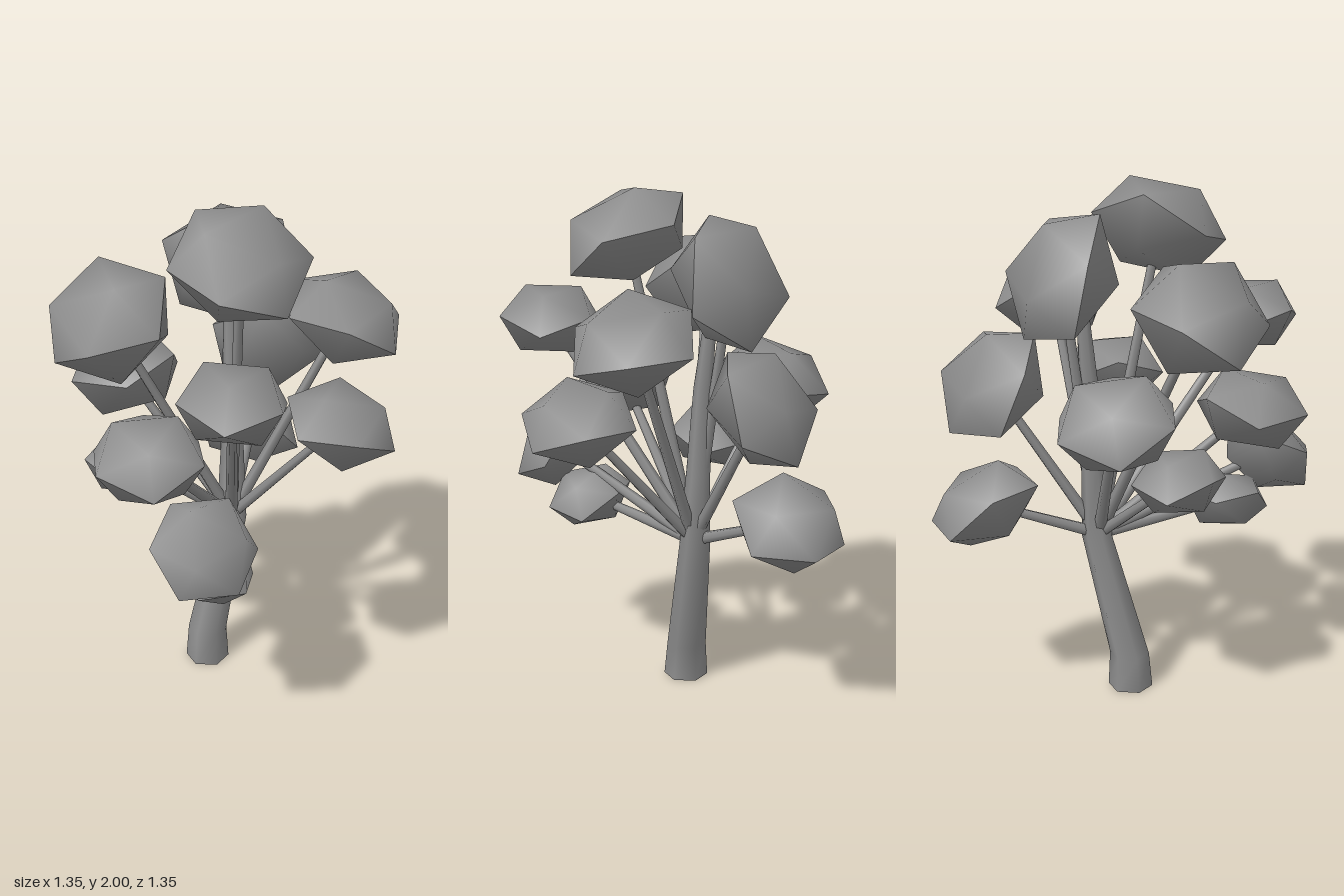
import * as THREE from 'three';
import { mergeVertices } from 'three/addons/utils/BufferGeometryUtils.js';

const UP = new THREE.Vector3(0, 1, 0);

// flattened icosahedron: smooth dome and smooth underside meeting at a sharp six-cornered rim
function makeLeafGeometry() {
  let g = new THREE.IcosahedronGeometry(1, 0);
  const p = g.attributes.position;
  const corner = (i) => new THREE.Vector3().fromBufferAttribute(p, i);
  const normal = corner(0).add(corner(1)).add(corner(2)).normalize();
  g.applyQuaternion(new THREE.Quaternion().setFromUnitVectors(normal, UP));
  g.rotateY(Math.atan2(p.getZ(0), p.getX(0)));
  g.scale(1, 0.69, 1);
  // tag each face as upper or lower so merging keeps the two halves apart
  const half = [];
  for (let i = 0; i < p.count; i += 3) {
    const side = p.getY(i) + p.getY(i + 1) + p.getY(i + 2) > 0 ? 1 : 0;
    half.push(side, side, side);
  }
  g.deleteAttribute('normal');
  g.deleteAttribute('uv');
  g.setAttribute('half', new THREE.Float32BufferAttribute(half, 1));
  g = mergeVertices(g, 1e-4);
  g.deleteAttribute('half');
  g.computeVertexNormals();
  return g;
}

// six-sided tapered limb through rings of [x, y, z, radius]
function makeLimb(rings, sides = 6) {
  const pos = [], idx = [], n = rings.length;
  for (const [x, y, z, r] of rings) {
    for (let j = 0; j < sides; j++) {
      const a = ((j + 0.5) / sides) * Math.PI * 2;
      pos.push(x + r * Math.cos(a), y, z + r * Math.sin(a));
    }
  }
  for (let i = 0; i < n - 1; i++) {
    for (let j = 0; j < sides; j++) {
      const a = i * sides + j, b = i * sides + (j + 1) % sides;
      idx.push(a, a + sides, b, b, a + sides, b + sides);
    }
  }
  // closed foot with its own corners so the rim stays sharp
  const foot = pos.length / 3;
  pos.push(...pos.slice(0, sides * 3));
  for (let j = 1; j < sides - 1; j++) idx.push(foot, foot + j, foot + j + 1);
  const g = new THREE.BufferGeometry();
  g.setAttribute('position', new THREE.Float32BufferAttribute(pos, 3));
  g.setIndex(idx);
  g.computeVertexNormals();
  return g;
}

// leaf clumps: centre, facing direction, radius, spin in degrees, optional extra thickness
const CLUMPS = [
  { at: [-0.04, 1.815, 0.16], facing: [0, 0.88, 0.46], r: 0.27, spin: 73 },
  { at: [-0.43, 1.565, -0.13], facing: [-0.45, 0.88, 0], r: 0.26, spin: 72, thick: 1.25 },
  { at: [-0.24, 1.45, 0.485], facing: [0.05, 1, 0], r: 0.215, spin: 4 },
  { at: [0.44, 1.5, 0.1], facing: [0.28, 0.93, 0.16], r: 0.25, spin: 60 },
  { at: [0.12, 1.66, -0.235], facing: [0.45, 0.36, -0.82], r: 0.278, spin: 12 },
  { at: [0.365, 1.245, -0.36], facing: [0.3, 0.55, -0.79], r: 0.252, spin: 3 },
  { at: [0.325, 0.8, -0.465], facing: [0.42, 0.87, -0.25], r: 0.23, spin: 33 },
  { at: [-0.26, 1.21, -0.405], facing: [-0.1, 0.93, -0.35], r: 0.243, spin: -8 },
  { at: [-0.44, 1.155, 0.21], facing: [-0.1, 0.97, 0.15], r: 0.228, spin: -10 },
  { at: [0.305, 1.17, 0.315], facing: [0.2, 0.96, 0.12], r: 0.228, spin: 45 },
  { at: [-0.35, 0.895, 0.48], facing: [-0.1, 0.7, 0.7], r: 0.21, spin: 16 },
  { at: [-0.25, 0.71, 0.34], facing: [0.2, 0.93, 0.3], r: 0.178, spin: 10 },
  { at: [-0.36, 0.945, -0.155], facing: [0.1, 0.97, -0.1], r: 0.183, spin: 10 },
];

export function createModel() {
  const tree = new THREE.Group();
  tree.name = 'tree';
  const grey = new THREE.MeshStandardMaterial({ color: 0x8c8c8c });
  grey.name = 'grey';
  const add = (name, geometry) => {
    const mesh = new THREE.Mesh(geometry, grey);
    mesh.name = name;
    tree.add(mesh);
    return mesh;
  };

  // leaning trunk, tapering up into the crown
  add('trunk', makeLimb([
    [-0.075, 0, -0.067, 0.088],
    [-0.072, 0.14, -0.07, 0.078],
    [0.06, 0.62, -0.107, 0.06],
    [0.068, 0.9, -0.118, 0.047],
    [0.075, 1.25, -0.135, 0.036],
    [0.08, 1.6, -0.17, 0.02],
  ]));

  // branches fan out from the fork to each clump
  const fork = new THREE.Vector3(0.055, 0.63, -0.1);
  const leafGeometry = makeLeafGeometry();
  CLUMPS.forEach(({ at, facing, r, spin, thick = 1 }, i) => {
    const centre = new THREE.Vector3(...at);
    const along = centre.clone().sub(fork);
    const branch = add('branch' + (i + 1),
      new THREE.CylinderGeometry(0.016, 0.025, along.length(), 6));
    branch.position.copy(fork).addScaledVector(along, 0.5);
    branch.quaternion.setFromUnitVectors(UP, along.normalize());

    const leaf = add('leafClump' + (i + 1), leafGeometry);
    leaf.position.copy(centre);
    leaf.quaternion.setFromUnitVectors(UP, new THREE.Vector3(...facing).normalize());
    leaf.rotateY(-THREE.MathUtils.degToRad(spin));
    leaf.scale.set(r, r * thick, r);
  });
  return tree;
}
